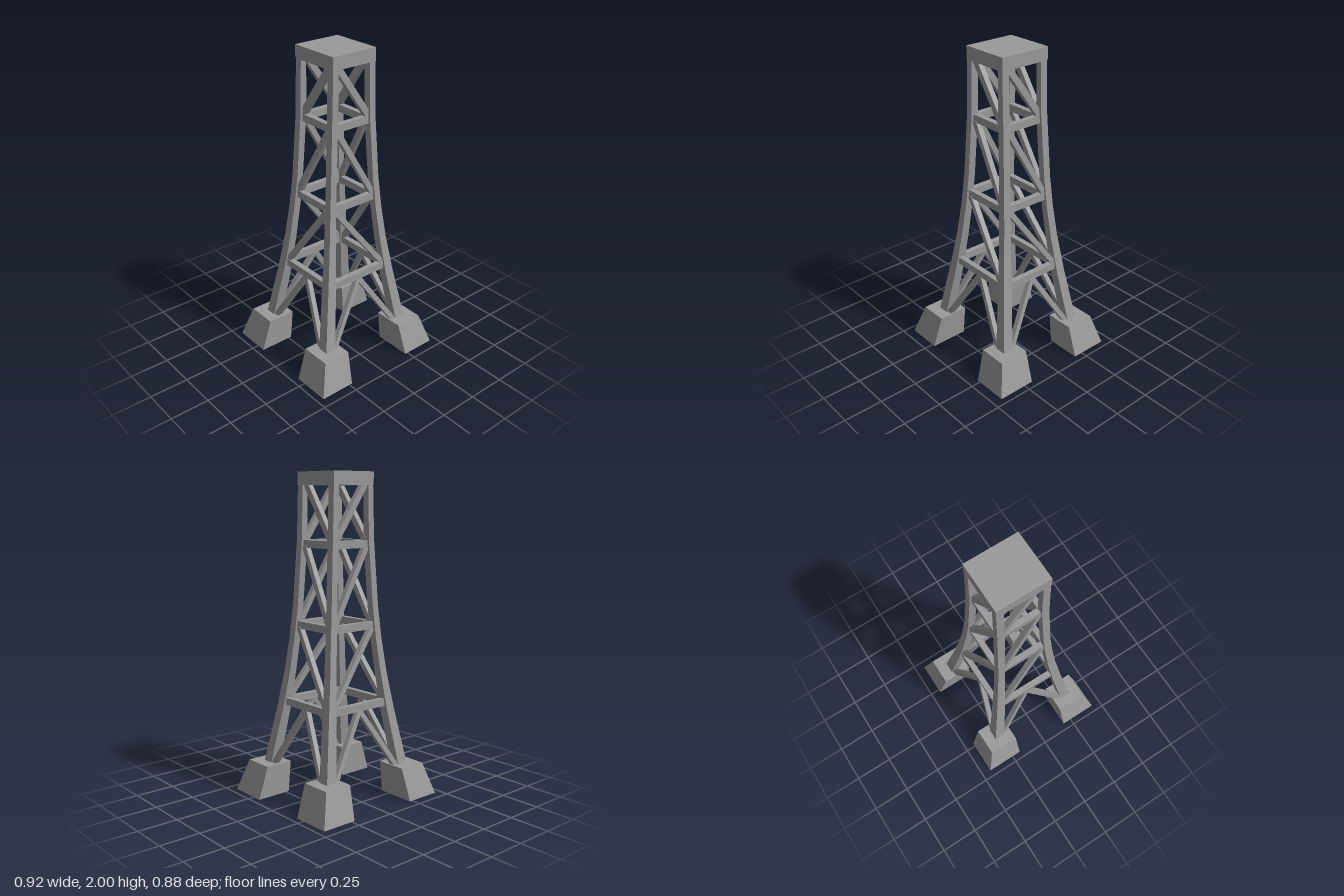
import * as THREE from 'three';

const material = new THREE.MeshStandardMaterial({ color: 0x999999, flatShading: true });

// Leg sections: height, outer x, inner x, outer z, inner z
const SECTIONS = [
  [0.19, 0.33, 0.257, 0.309, 0.24],
  [0.55, 0.266, 0.206, 0.252, 0.19],
  [0.8, 0.227, 0.178, 0.218, 0.164],
  [1.0, 0.204, 0.158, 0.197, 0.147],
  [1.2, 0.186, 0.143, 0.183, 0.135],
  [1.6, 0.163, 0.12, 0.168, 0.12],
  [1.95, 0.153, 0.115, 0.166, 0.12],
];

// Interpolated leg section at height y
function sectionAt(y) {
  let i = 0;
  while (i < SECTIONS.length - 2 && y > SECTIONS[i + 1][0]) i++;
  const a = SECTIONS[i], b = SECTIONS[i + 1];
  const t = (y - a[0]) / (b[0] - a[0]);
  return a.map((v, k) => THREE.MathUtils.lerp(v, b[k], t));
}

// Square column through the sections, placed in the quadrant (sx, sz)
function column(sections, sx, sz) {
  const n = sections.length - 1;
  const geometry = new THREE.BoxGeometry(1, 1, 1, 1, n, 1);
  const p = geometry.attributes.position;
  for (let i = 0; i < p.count; i++) {
    const [y, xo, xi, zo, zi] = sections[Math.round((p.getY(i) + 0.5) * n)];
    const x = p.getX(i) * sx > 0 ? xo : xi;
    const z = p.getZ(i) * sz > 0 ? zo : zi;
    p.setXYZ(i, sx * x, y, sz * z);
  }
  geometry.computeVertexNormals();
  return geometry;
}

function add(parent, name, geometry) {
  const mesh = new THREE.Mesh(geometry, material);
  mesh.name = name;
  parent.add(mesh);
  return mesh;
}

// Rectangular bar from a to b, its depth along the wall normal
function bar(parent, name, a, b, height, depth, normal) {
  const dir = b.clone().sub(a);
  const length = dir.length();
  dir.normalize();
  const up = normal.clone().cross(dir).normalize();
  const out = dir.clone().cross(up);
  const mesh = add(parent, name, new THREE.BoxGeometry(length, height, depth));
  mesh.quaternion.setFromRotationMatrix(new THREE.Matrix4().makeBasis(dir, up, out));
  mesh.position.copy(a).add(b).multiplyScalar(0.5);
}

// Bracing of one wall; axis is the direction the wall faces, s its sign
function wall(axis, s) {
  const group = new THREE.Group();
  const front = axis === 'z';
  group.name = (front ? (s > 0 ? 'front' : 'back') : (s > 0 ? 'left' : 'right')) + 'Bracing';
  const normal = front ? new THREE.Vector3(0, 0, s) : new THREE.Vector3(s, 0, 0);

  // u = -1..1 runs between the inner edges of the two legs
  const point = (u, y, inset) => {
    const [, xo, xi, zo, zi] = sectionAt(y);
    return front
      ? new THREE.Vector3(u * xi, y, s * (zo - inset))
      : new THREE.Vector3(s * (xo - inset), y, -u * zi);
  };

  // Horizontal beams
  for (const y of [0.595, 1.078, 1.573]) {
    bar(group, 'crossBeam', point(-1.1, y, 0.032), point(1.1, y, 0.032), 0.046, 0.036, normal);
  }
  // Single diagonals of the three upper panels: top, bottom, bar height
  for (const [top, bottom, height] of [[1.93, 1.6, 0.04], [1.555, 1.095, 0.035], [1.06, 0.61, 0.033]]) {
    bar(group, 'diagonalBrace', point(-0.93, top, 0.03), point(1.02, bottom, 0.03), height, 0.034, normal);
  }
  // Inverted V between the feet
  for (const side of [-1, 1]) {
    bar(group, 'footBrace', point(side * 0.97, 0.19, 0.025), point(0, 0.577, 0.034), 0.032, 0.032, normal);
  }
  return group;
}

export function createModel() {
  const model = new THREE.Group();
  model.name = 'latticeTower';

  // Legs and their tapered footings
  const footing = [
    [0, 0.458, 0.23, 0.438, 0.19],
    [0.2, 0.395, 0.214, 0.38, 0.186],
  ];
  for (const sx of [-1, 1]) {
    for (const sz of [-1, 1]) {
      const corner = (sz > 0 ? 'front' : 'back') + (sx > 0 ? 'Left' : 'Right');
      add(model, corner + 'Leg', column(SECTIONS, sx, sz));
      add(model, corner + 'Footing', column(footing, sx, sz));
    }
  }

  // Bracing on the four walls
  for (const axis of ['x', 'z']) {
    for (const s of [-1, 1]) model.add(wall(axis, s));
  }

  // Top platform
  add(model, 'topPlatform', new THREE.BoxGeometry(0.312, 0.08, 0.336)).position.y = 1.96;
  return model;
}
